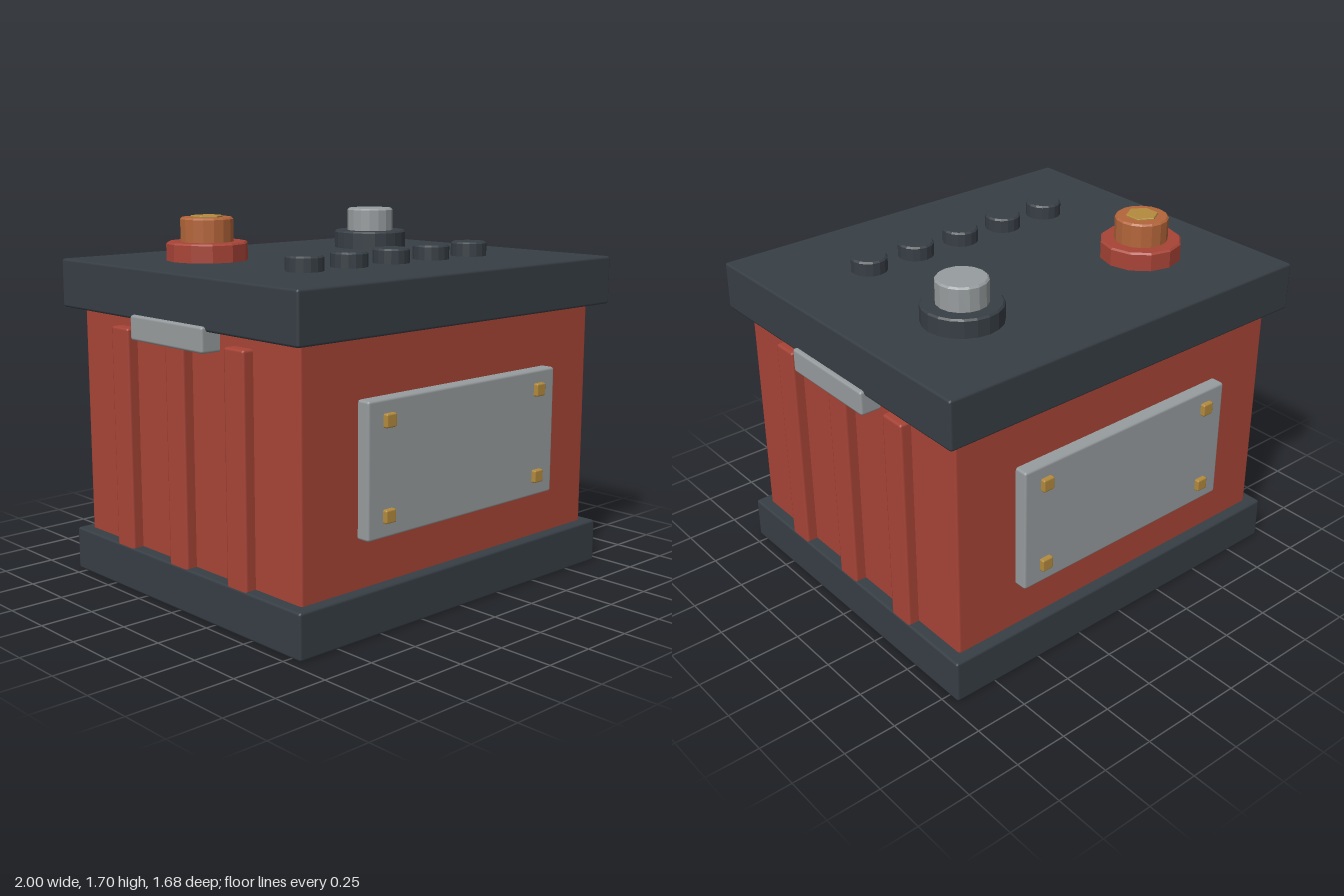
import * as THREE from 'three';
import { RoundedBoxGeometry } from 'three/addons/geometries/RoundedBoxGeometry.js';

const paint = (name, color, flatShading = false) => {
  const m = new THREE.MeshStandardMaterial({ color, flatShading });
  m.name = name;
  return m;
};

export function createModel() {
  const group = new THREE.Group();
  const red = paint('red casing', 0xa84437);
  const dark = paint('dark plastic', 0x373e45);
  const grey = paint('grey metal', 0x979c9e);
  const copper = paint('copper', 0xb3653a);
  const brass = paint('brass', 0xb48b3d);

  // Box with softened edges, given by its extents
  const box = (name, mat, [x0, x1], [y0, y1], [z0, z1], bevel = 0.012) => {
    const geo = new RoundedBoxGeometry(x1 - x0, y1 - y0, z1 - z0, 1, bevel);
    const mesh = new THREE.Mesh(geo, mat);
    mesh.position.set((x0 + x1) / 2, (y0 + y1) / 2, (z0 + z1) / 2);
    mesh.name = name;
    group.add(mesh);
  };

  // Upright faceted disc with a small chamfer round its top
  const disc = (name, mat, x, z, r, y0, y1, sides, bevel = 0.008) => {
    const profile = [[0, y0], [r, y0], [r, y1 - bevel], [r - bevel, y1], [0, y1]]
      .map(([a, b]) => new THREE.Vector2(a, b));
    const geo = new THREE.LatheGeometry(profile, sides).toNonIndexed();
    geo.computeVertexNormals();
    const mesh = new THREE.Mesh(geo, mat);
    mesh.position.set(x, 0, z);
    mesh.name = name;
    group.add(mesh);
  };

  // Tray, casing and lid
  box('baseTray', dark, [-0.96, 0.96], [0, 0.205], [-0.81, 0.81]);
  box('casing', red, [-0.905, 0.905], [0.15, 1.3], [-0.757, 0.757]);
  box('lid', dark, [-0.98, 0.98], [1.27, 1.495], [-0.83, 0.83]);

  for (const s of [-1, 1]) {
    const span = (a, b) => (s > 0 ? [a, b] : [-b, -a]);

    // Side ribs and carrying grip
    for (const z of [-0.405, 0, 0.405]) {
      box('sideRib', red, span(0.87, 0.957), [0.19, 1.217], [z - 0.065, z + 0.065]);
    }
    box('sideGrip', grey, span(0.88, 1), [1.18, 1.292], [-0.257, 0.257]);

    // Front and back plates with square bolts
    box('facePlate', grey, [-0.595, 0.595], [0.42, 1.01], span(0.74, 0.818));
    for (const x of [-0.48, 0.48]) {
      for (const y of [0.515, 0.92]) {
        box('plateBolt', brass, [x - 0.03, x + 0.03], [y - 0.03, y + 0.03], span(0.79, 0.84), 0.008);
      }
    }
  }

  // Copper terminal with hexagonal brass top
  disc('copperTerminalCollar', red, -0.522, -0.32, 0.187, 1.48, 1.58, 12);
  disc('copperTerminalPost', copper, -0.522, -0.32, 0.122, 1.57, 1.69, 16);
  disc('terminalHexTop', brass, -0.522, -0.32, 0.075, 1.68, 1.698, 6, 0.003);

  // Grey terminal
  disc('greyTerminalCollar', dark, 0.515, -0.32, 0.18, 1.48, 1.58, 20);
  disc('greyTerminalPost', grey, 0.515, -0.32, 0.115, 1.57, 1.69, 16);

  // Row of filler caps
  for (let i = -2; i <= 2; i++) {
    disc('fillerCap', dark, i * 0.259, 0.347, 0.084, 1.48, 1.562, 16);
  }
  return group;
}
